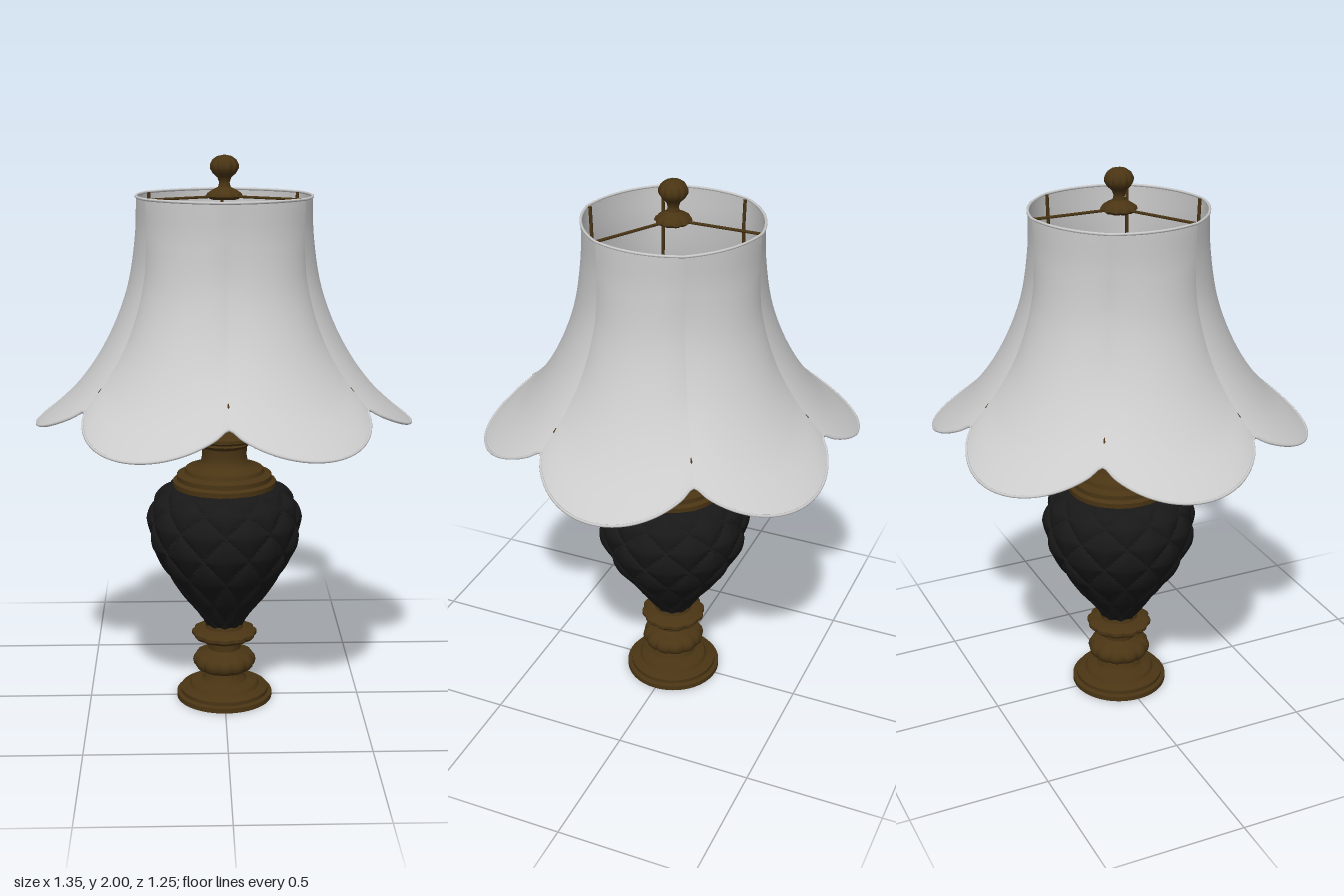
import * as THREE from 'three';
import { toCreasedNormals } from 'three/addons/utils/BufferGeometryUtils.js';
import { ParametricGeometry } from 'three/addons/geometries/ParametricGeometry.js';

const bronze = new THREE.MeshStandardMaterial({ color: 0x4a3514 });
const black = new THREE.MeshStandardMaterial({ color: 0x181818 });
const white = new THREE.MeshStandardMaterial({ color: 0xffffff });
const fabric = new THREE.MeshStandardMaterial({ color: 0xcccccc, side: THREE.DoubleSide });

const V2 = (p) => new THREE.Vector2(p[0], p[1]);
const curve3 = (pts) => new THREE.CatmullRomCurve3(pts.map(([r, y]) => new THREE.Vector3(r, y, 0)));

function add(parent, name, geometry, material) {
  const mesh = new THREE.Mesh(geometry, material);
  mesh.name = name;
  parent.add(mesh);
  return mesh;
}

// Lathe with optional lobes: flute(y) gives the relative lobe depth at a height
function turned(pts, segments = 48, flute = null, lobes = 12) {
  const g = new THREE.LatheGeometry(pts.map(V2), segments);
  if (flute) {
    const p = g.attributes.position;
    for (let i = 0; i < p.count; i++) {
      const a = Math.atan2(p.getZ(i), p.getX(i));
      const k = 1 - flute(p.getY(i)) * (1 - Math.abs(Math.cos(a * lobes / 2)));
      p.setX(i, p.getX(i) * k);
      p.setZ(i, p.getZ(i) * k);
    }
  }
  return toCreasedNormals(g, 0.6);
}

// Half-round bead between two heights, as profile points
function bead(r, y0, y1, bulge, n = 8) {
  return Array.from({ length: n + 1 }, (_, i) => [
    r + bulge * Math.sin(Math.PI * i / n),
    (y0 + y1) / 2 - (y1 - y0) / 2 * Math.cos(Math.PI * i / n)]);
}

// Shade cross-sections along a valley and along the middle of a lobe
const valley = curve3([[0.314, 1.86], [0.311, 1.74], [0.322, 1.58], [0.374, 1.41], [0.45, 1.28], [0.556, 1.16]]);
const lobe = curve3([[0.306, 1.86], [0.312, 1.72], [0.345, 1.53], [0.425, 1.34], [0.53, 1.19], [0.67, 1.06]]);

// Point on a lobe: u runs from valley to valley, t from top to hem
function shadePoint(u, t, out) {
  const a = (u - 0.5) * Math.PI / 3;
  const edge = 0.369 * Math.cos(a) + Math.sqrt(0.0906 - (0.369 * Math.sin(a)) ** 2);
  const w = THREE.MathUtils.clamp((edge - 0.556) / 0.114, 0, 1);
  const p = valley.getPoint(t).lerp(lobe.getPoint(t), w);
  return out.set(p.x * Math.cos(a), p.y, p.x * Math.sin(a));
}

function buildShade() {
  const shade = new THREE.Group();
  shade.name = 'shade';
  const panel = new ParametricGeometry((u, t, out) => shadePoint(u, t, out), 24, 28);
  const ribCurve = new THREE.CatmullRomCurve3(Array.from({ length: 13 }, (_, i) => {
    const p = valley.getPoint(i / 12);
    return new THREE.Vector3(p.x - 0.007, p.y, 0);
  }));
  const rib = new THREE.TubeGeometry(ribCurve, 28, 0.006, 6);
  const up = new THREE.Vector3(0, 1, 0);
  for (let k = 0; k < 6; k++) {
    add(shade, 'shadePanel', panel, fabric).rotation.y = k * Math.PI / 3;
    add(shade, 'shadeRib', rib, bronze).rotation.y = (k + 0.5) * Math.PI / 3;
  }
  // Piping along the top rim and the scalloped hem
  for (const [name, t] of [['topTrim', 0], ['hemTrim', 1]]) {
    const pts = [];
    for (let k = 0; k < 6; k++) {
      for (let i = 0; i < 14; i++) {
        pts.push(shadePoint(i / 14, t, new THREE.Vector3()).applyAxisAngle(up, -k * Math.PI / 3));
      }
    }
    add(shade, name, new THREE.TubeGeometry(new THREE.CatmullRomCurve3(pts, true), 252, 0.005, 6, true), fabric);
  }
  // Three spider arms from the hub to the rim
  for (let k = 0; k < 3; k++) {
    const arm = new THREE.CylinderGeometry(0.005, 0.005, 0.31, 6);
    arm.rotateZ(Math.PI / 2).translate(0.155, 1.858, 0);
    add(shade, 'spiderArm', arm, bronze).rotation.y = Math.PI / 2 + k * Math.PI * 2 / 3;
  }
  return shade;
}

// Urn covered in overlapping diamond scales
function buildUrn() {
  const profile = curve3([[0.06, 0.28], [0.085, 0.32], [0.16, 0.43], [0.232, 0.55], [0.262, 0.66], [0.25, 0.75], [0.205, 0.81], [0.16, 0.825]]);
  const around = 10;
  const rows = 4;
  const nU = 160, nV = 110;
  const frac = (x) => x - Math.floor(x);
  const g = new ParametricGeometry((u, v, out) => {
    const t = 1 - v;
    const p = profile.getPoint(t);
    const a = u * Math.PI * 2;
    const s = frac(u * around + t * rows), q = frac(u * around - t * rows);
    // pillow shape with a steeper upper side
    const d = Math.min(s, 1 - s, q, 1 - q) * 2;
    const lift = Math.pow(d, 0.45) * (0.85 + 0.25 * (s - q));
    const r = p.x * (1 + 0.1 * lift * Math.min(1, (1 - t) * 10));
    out.set(r * Math.cos(a), p.y, r * Math.sin(a));
  }, nU, nV);
  return toCreasedNormals(g, 0.7);
}

export function createModel() {
  const model = new THREE.Group();
  model.name = 'tableLamp';

  // Foot and stem with two lobed beads
  add(model, 'foot', turned([
    [0, 0], [0.177, 0], [0.177, 0.018], [0.162, 0.022], [0.162, 0.036], [0.145, 0.042], [0.13, 0.046],
    [0.122, 0.058], [0.085, 0.068], [0.072, 0.085], [0.068, 0.105],
    ...bead(0.075, 0.107, 0.178, 0.042),
    [0.06, 0.19], [0.06, 0.215], [0.075, 0.228], [0.11, 0.235], [0.12, 0.246], [0.12, 0.258], [0.1, 0.268],
    [0.07, 0.273], [0.066, 0.295], [0, 0.295]],
  96, (y) => (y > 0.107 && y < 0.178) || (y > 0.23 && y < 0.266) ? 0.06 : 0), bronze);

  add(model, 'urn', buildUrn(), black);

  // Stepped shoulder, neck and lip
  add(model, 'neck', turned([
    [0, 0.81], [0.185, 0.81], [0.187, 0.838], [0.172, 0.845], [0.172, 0.862], [0.145, 0.87], [0.14, 0.885],
    [0.1, 0.895], [0.085, 0.91], [0.08, 0.935], [0.083, 0.965], [0.095, 0.978], [0.09, 0.988],
    [0.125, 0.994], [0.134, 1.002], [0.134, 1.014], [0.122, 1.02], [0, 1.022]], 64), bronze);

  // Lamp holder
  add(model, 'socket', turned([
    [0.028, 1.02], [0.028, 1.06], [0.045, 1.068], [0.06, 1.085], [0.06, 1.13], [0.052, 1.14], [0, 1.14]], 32), bronze);
  add(model, 'bulbNeck', new THREE.CylinderGeometry(0.038, 0.038, 0.09, 32).translate(0, 1.18, 0), white);
  const bulb = new THREE.SplineCurve([[0.036, 1.215], [0.05, 1.24], [0.08, 1.285], [0.09, 1.325],
    [0.078, 1.37], [0.045, 1.402], [0, 1.412]].map(V2)).getPoints(28);
  bulb[28].x = 0;
  add(model, 'bulb', new THREE.LatheGeometry([new THREE.Vector2(0, 1.215), ...bulb], 32), black);

  model.add(buildShade());

  // Lobed finial on the spider hub
  add(model, 'finial', turned([
    [0, 1.845], [0.05, 1.848], [0.064, 1.858], [0.06, 1.868], [0.042, 1.88], [0.022, 1.89], [0.018, 1.905], [0.024, 1.922],
    [0.04, 1.936], [0.05, 1.953], [0.05, 1.966], [0.042, 1.983], [0.025, 1.995], [0, 2]],
  80, () => 0.1, 10), bronze);

  return model;
}
